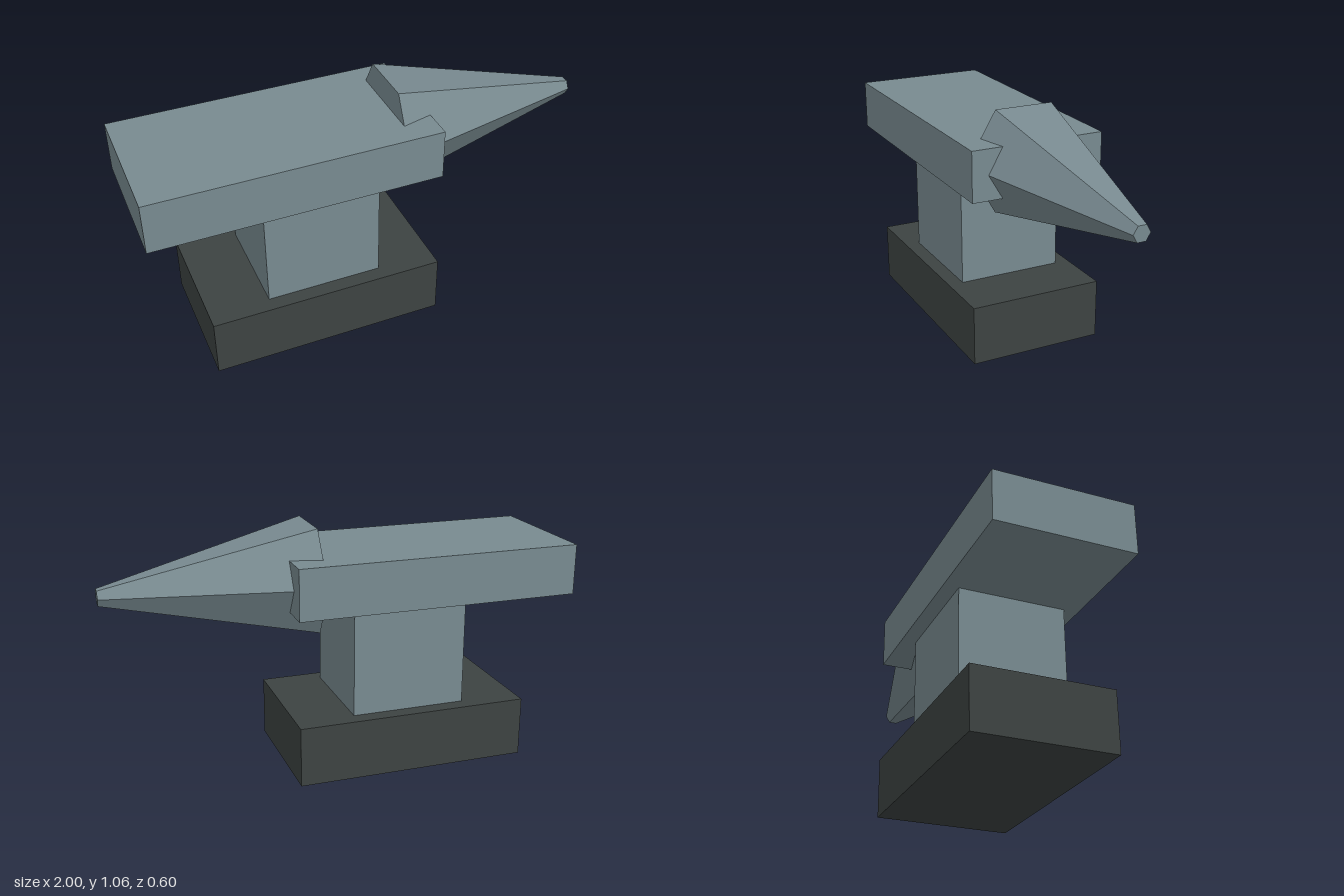
import * as THREE from 'three';

export function createModel() {
  const model = new THREE.Group();
  model.name = 'anvil';

  const steel = new THREE.MeshStandardMaterial({ color: 0x788a90 });
  steel.name = 'steel';
  const darkIron = new THREE.MeshStandardMaterial({ color: 0x3d4342 });
  darkIron.name = 'dark iron';
  steel.flatShading = darkIron.flatShading = true;

  // Box given by its x and y extents and its half depth
  function block(name, material, x0, x1, y0, y1, halfDepth) {
    const mesh = new THREE.Mesh(new THREE.BoxGeometry(x1 - x0, y1 - y0, halfDepth * 2), material);
    mesh.position.set((x0 + x1) / 2, (y0 + y1) / 2, 0);
    mesh.name = name;
    model.add(mesh);
  }

  block('base', darkIron, -0.78, 0.243, 0, 0.262, 0.298);
  block('waist', steel, -0.518, -0.014, 0.262, 0.728, 0.233);
  block('body', steel, -1, 0.243, 0.728, 0.948, 0.298);

  // Six-sided tapering horn, dipping slightly towards its tip
  const root = new THREE.Vector3(0.107, 0.839, 0);
  const tip = new THREE.Vector3(0.999, 0.821, 0);
  const axis = tip.clone().sub(root);
  const horn = new THREE.Mesh(new THREE.CylinderGeometry(0.037, 0.259, axis.length(), 6), steel);
  horn.position.copy(root).add(tip).multiplyScalar(0.5);
  horn.rotation.z = Math.atan2(axis.y, axis.x) - Math.PI / 2;
  horn.name = 'horn';
  model.add(horn);

  return model;
}
